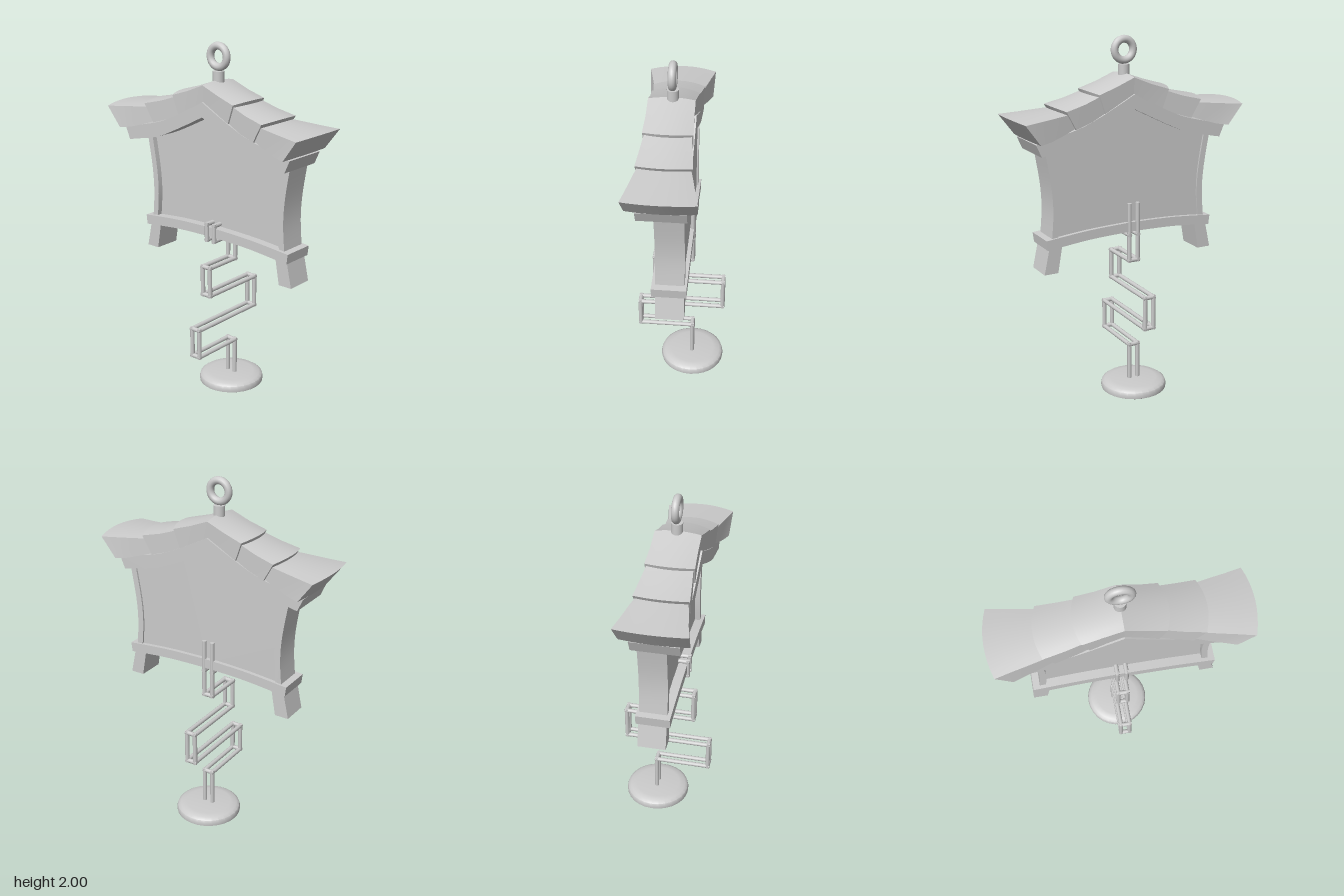
import * as THREE from 'three';
import { toCreasedNormals } from 'three/addons/utils/BufferGeometryUtils.js';

const CX = -0.0525; // middle of the roof
const BZ = 0.016;   // middle of the body along z
const material = new THREE.MeshStandardMaterial({ color: 0xcccccc });

function add(parent, name, geometry) {
  const mesh = new THREE.Mesh(geometry, material);
  mesh.name = name;
  parent.add(mesh);
  return mesh;
}

// Extrudes a [z, y] outline along x, from x0 to x1
function slab(points, x0, x1) {
  const shape = new THREE.Shape(points.map(p => new THREE.Vector2(p[0], p[1])));
  const g = new THREE.ExtrudeGeometry(shape, { depth: x1 - x0, bevelEnabled: false });
  g.rotateY(-Math.PI / 2);
  g.translate(x1, 0, 0);
  return toCreasedNormals(g, 0.4);
}

// Smooth curve through [z, y] points
function smooth(points, n = 12) {
  return new THREE.SplineCurve(points.map(p => new THREE.Vector2(p[0], p[1])))
    .getPoints(n).map(p => [p.x, p.y]);
}

const mirrorZ = pts => pts.map(([z, y]) => [-z, y]);

// Full outline from the two halves of an upper and a lower line
function band(top, bottom) {
  const full = half => [...mirrorZ(half).reverse(), ...half.slice(1)];
  return [...full(bottom), ...full(top).reverse()];
}

// One roof tier: arched top, bowed and slanting end.
// Each section is [zTop, yTop, zBottom, yBottom, halfWidth]
function tierGeometry(sections, arch = 0.012, bow = 0.03) {
  const M = 8, pos = [], idx = [], R = 2 * (M + 1);
  sections.forEach(([zt, yt, zb, yb, hw], j) => {
    const out = bow * j / (sections.length - 1);
    for (let k = 0; k < R; k++) {
      const top = k <= M;
      const v = top ? -1 + 2 * k / M : 1 - 2 * (k - M - 1) / M;
      const w = top ? hw : hw * 0.96;
      pos.push(v * w, (top ? yt : yb) - arch * v * v, (top ? zt : zb) - out * v * v);
    }
  });
  for (let j = 0; j < sections.length - 1; j++) {
    for (let k = 0; k < R; k++) {
      const a = j * R + k, b = j * R + (k + 1) % R;
      idx.push(a, a + R, b + R, a, b + R, b);
    }
  }
  const e = (sections.length - 1) * R;
  for (let k = 0; k < M; k++) {
    const t = e + k, b = e + R - 1 - k;
    idx.push(t, b, b - 1, t, b - 1, t + 1);
  }
  const g = new THREE.BufferGeometry();
  g.setAttribute('position', new THREE.Float32BufferAttribute(pos, 3));
  g.setIndex(idx);
  return toCreasedNormals(g, 0.5);
}

// Round rod between two points, slightly overlapping its neighbours
function rod(parent, name, a, b, r = 0.0125) {
  const p = new THREE.Vector3(...a), q = new THREE.Vector3(...b);
  const d = q.clone().sub(p);
  const mesh = add(parent, name, new THREE.CylinderGeometry(r, r, d.length() + r * 1.6, 10));
  mesh.position.copy(p).add(q).multiplyScalar(0.5);
  mesh.quaternion.setFromUnitVectors(new THREE.Vector3(0, 1, 0), d.normalize());
}

export function createModel() {
  const model = new THREE.Group();

  // Stepped roof, three tiers on each slope
  const tiers = {
    ridgeTier: [[0, 1.80, 0, 1.70, 0.122], [0.12, 1.758, 0.1, 1.652, 0.123], [0.24, 1.724, 0.2, 1.612, 0.129]],
    middleTier: [[0.19, 1.718, 0.15, 1.63, 0.118], [0.31, 1.682, 0.27, 1.585, 0.131], [0.437, 1.655, 0.38, 1.555, 0.143]],
    eaveTier: [[0.38, 1.638, 0.34, 1.565, 0.131], [0.48, 1.63, 0.43, 1.537, 0.15],
      [0.58, 1.622, 0.52, 1.513, 0.167], [0.684, 1.615, 0.6, 1.503, 0.187]],
  };
  const roof = new THREE.Group();
  roof.name = 'roof';
  roof.position.x = CX;
  for (const [name, sections] of Object.entries(tiers)) {
    const g = tierGeometry(sections);
    add(roof, name + 'Front', g);
    add(roof, name + 'Back', g).rotation.y = Math.PI;
  }
  model.add(roof);

  // Curved board under the roof
  const boardTop = smooth([[0, 1.70], [0.15, 1.622], [0.3, 1.555], [0.45, 1.515], [0.575, 1.485]]);
  const boardBottom = smooth([[0, 1.62], [0.16, 1.54], [0.32, 1.468], [0.45, 1.437], [0.545, 1.417]]);
  add(model, 'eaveBoard', slab(band(boardTop, boardBottom), CX - 0.128, CX + 0.128));

  // Hanging ring on its neck
  const neck = add(model, 'ringNeck', new THREE.CylinderGeometry(0.031, 0.031, 0.07, 20));
  neck.position.set(-0.047, 1.812, 0);
  const ring = add(model, 'hangingRing', new THREE.TorusGeometry(0.056, 0.021, 12, 32));
  ring.rotation.y = Math.PI / 2;
  ring.position.set(-0.047, 1.923, 0);

  // Body: recessed panel, curved end walls, sill and splayed legs
  const body = new THREE.Group();
  body.name = 'body';
  body.position.z = BZ;
  const edge = smooth([[0.478, 0.93], [0.464, 1.1], [0.472, 1.25], [0.505, 1.45]]);
  const inner = edge.map(([z, y]) => [z - 0.035, y]);
  const half = inner.map(([z, y]) => [z + 0.01, y]);
  const panel = [...half, [0.16, 1.57], [0, 1.65], [-0.16, 1.57],
    ...mirrorZ(half).reverse(), [0, 0.96]];
  add(body, 'panel', slab(panel, -0.065, 0.048));
  const wall = [...edge, ...inner.slice().reverse()];
  const leg = [[0.443, 0.77], [0.523, 0.77], [0.488, 0.93], [0.415, 0.93]];
  for (const [side, flip] of [['Front', false], ['Back', true]]) {
    const place = pts => slab(flip ? mirrorZ(pts) : pts, -0.095, 0.058);
    add(body, 'endWall' + side, place(wall));
    add(body, 'leg' + side, place(leg));
  }
  const sillTop = smooth([[0, 0.993], [0.26, 0.985], [0.512, 0.963]]);
  const sillBottom = smooth([[0, 0.94], [0.26, 0.932], [0.505, 0.908]]);
  add(body, 'sill', slab(band(sillTop, sillBottom), -0.115, 0.07));
  model.add(body);

  // Zigzag stand of two rods, joined at every bend
  const stand = new THREE.Group();
  stand.name = 'zigzagStand';
  const path = [[0.063, 0.015], [0.063, 0.262], [-0.245, 0.262], [-0.245, 0.425], [0.24, 0.425],
    [0.24, 0.605], [-0.153, 0.605], [-0.153, 0.77], [0.063, 0.77], [0.063, 1.09]];
  const clip = [[0.063, 0.918], [-0.117, 0.918], [-0.117, 1.008], [-0.06, 1.008]];
  for (const z of [-0.026, 0.026]) {
    for (const [name, line] of [['standRod', path], ['clipRod', clip]]) {
      for (let i = 1; i < line.length; i++) rod(stand, name, [...line[i - 1], z], [...line[i], z]);
    }
  }
  for (const p of path.slice(1, -1)) rod(stand, 'crossRod', [...p, -0.026], [...p, 0.026]);
  model.add(stand);

  // Round foot, hollow beneath
  const profile = [[0, 0.035], [0.1, 0.028], [0.178, 0], [0.185, 0.004], [0.187, 0.02],
    [0.182, 0.038], [0.165, 0.05], [0.13, 0.055], [0, 0.055]];
  const foot = add(model, 'foot', toCreasedNormals(
    new THREE.LatheGeometry(profile.map(p => new THREE.Vector2(...p)), 28), 0.7));
  foot.position.x = 0.063;

  return model;
}
